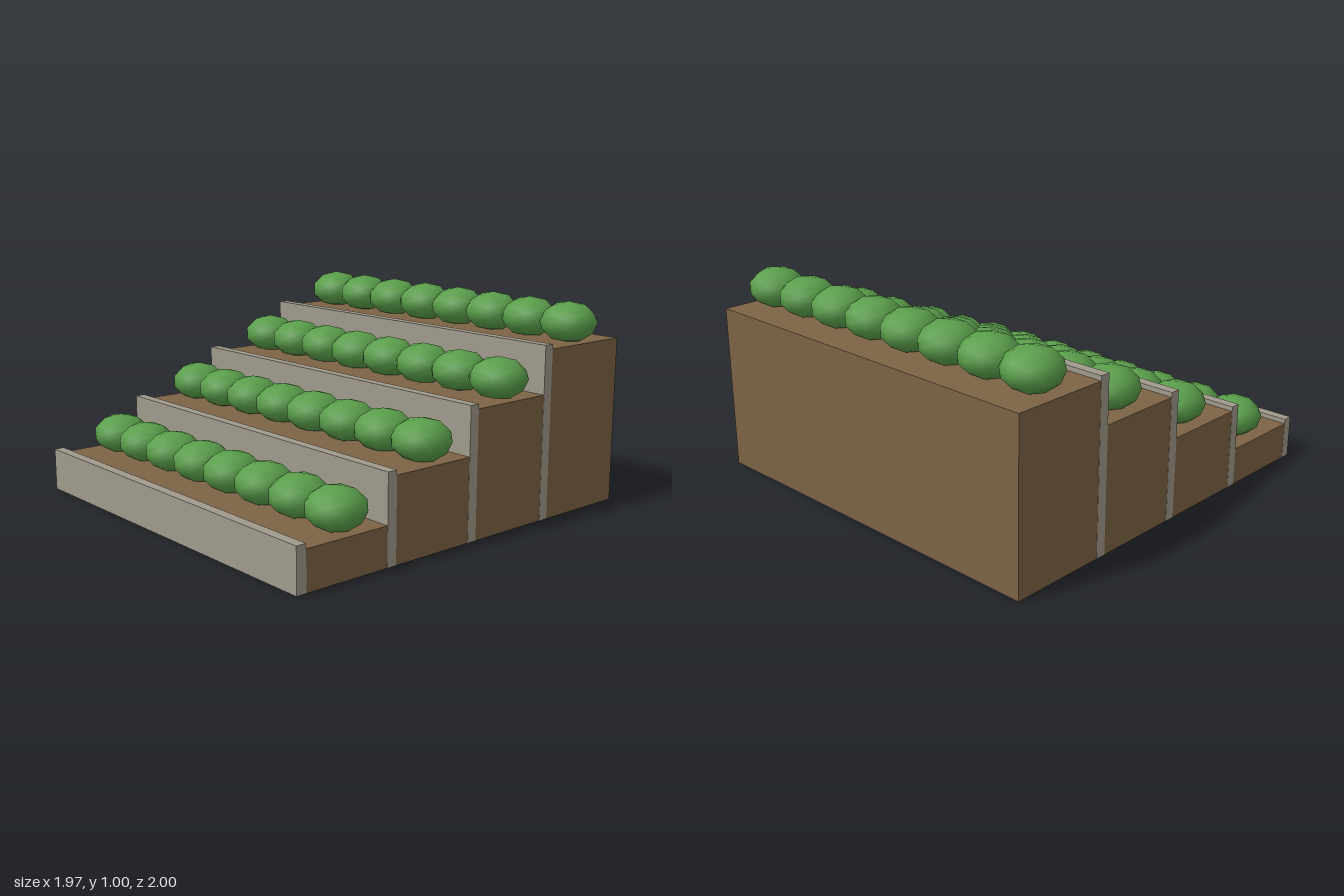
import * as THREE from 'three';

const LEVELS = 4, BUSHES = 8;
const WIDTH = 1.95, CENTRE_X = -0.01;
const RISE = 0.209, RUN = 0.4883;
const SOIL_DEPTH = 0.51, WALL_THICKNESS = 0.05;

export function createModel() {
  const model = new THREE.Group();
  model.name = 'terracedGarden';

  const soilMaterial = new THREE.MeshStandardMaterial({ color: 0x7d6345 });
  const wallMaterial = new THREE.MeshStandardMaterial({ color: 0xa09a8c });
  const bushMaterial = new THREE.MeshStandardMaterial({ color: 0x5a9e4b });

  // Flattened, rounded bush shared by every row
  const bushGeometry = new THREE.IcosahedronGeometry(0.138, 1);
  bushGeometry.scale(1, 0.72, 1);

  const add = (parent, name, geometry, material, x, y, z) => {
    const mesh = new THREE.Mesh(geometry, material);
    mesh.name = name;
    mesh.position.set(x, y, z);
    parent.add(mesh);
  };

  for (let i = 0; i < LEVELS; i++) {
    const terrace = new THREE.Group();
    terrace.name = `terrace${i + 1}`;
    model.add(terrace);

    const frontZ = 0.975 - i * RUN;
    const wallHeight = RISE * (i + 1);
    const soilHeight = wallHeight - 0.023;

    // Earth bed reaching down to the ground
    add(terrace, 'soilBed', new THREE.BoxGeometry(WIDTH, soilHeight, SOIL_DEPTH),
      soilMaterial, CENTRE_X, soilHeight / 2, frontZ - SOIL_DEPTH / 2);

    // Stone retaining wall, a hair wider than the bed
    add(terrace, 'retainingWall', new THREE.BoxGeometry(WIDTH + 0.002, wallHeight, WALL_THICKNESS),
      wallMaterial, CENTRE_X, wallHeight / 2, frontZ);

    // Row of bushes
    const row = new THREE.Group();
    row.name = 'bushRow';
    terrace.add(row);
    for (let j = 0; j < BUSHES; j++) {
      const x = (j - (BUSHES - 1) / 2) * 0.2415 + 0.001;
      add(row, 'bush', bushGeometry, bushMaterial, x, soilHeight + 0.087, frontZ - 0.283);
    }
  }
  return model;
}
